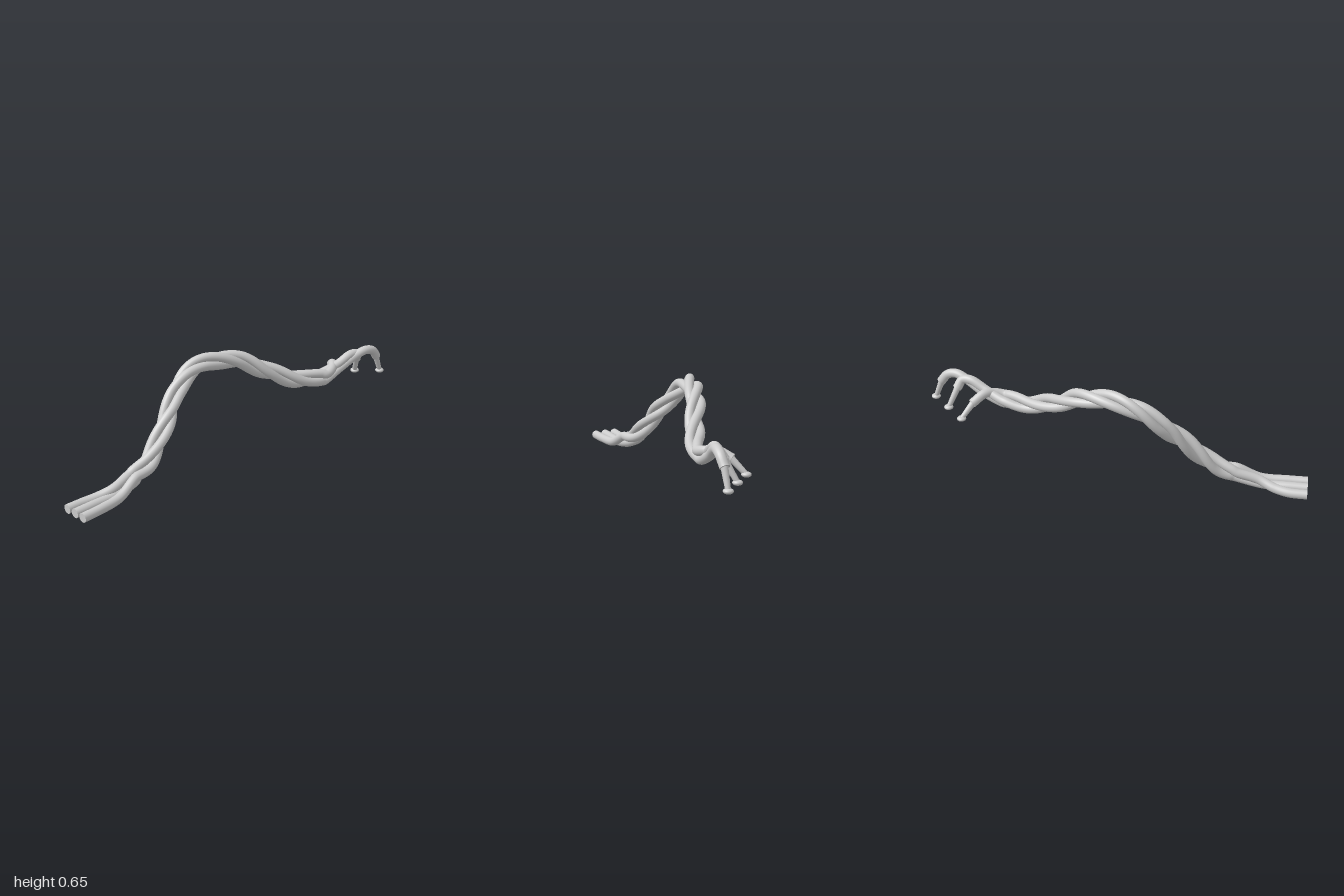
import * as THREE from 'three';

const material = new THREE.MeshStandardMaterial({ color: 0xcccccc });
const RADIUS = 0.029;
const V = (p) => new THREE.Vector3(...p);
const UP = new THREE.Vector3(0, 1, 0);

function add(group, geometry, name) {
  const mesh = new THREE.Mesh(geometry, material);
  mesh.name = name;
  group.add(mesh);
  return mesh;
}

// tapered rod between two points
function rod(group, a, b, ra, rb, name) {
  const dir = b.clone().sub(a);
  const mesh = add(group, new THREE.CylinderGeometry(rb, ra, dir.length(), 20), name);
  mesh.position.copy(a).lerp(b, 0.5);
  mesh.quaternion.setFromUnitVectors(UP, dir.normalize());
}

// flat disc closing a tube end
function cap(group, at, normal) {
  const mesh = add(group, new THREE.CircleGeometry(RADIUS, 20), 'cableEnd');
  mesh.position.copy(at);
  mesh.quaternion.setFromUnitVectors(new THREE.Vector3(0, 0, 1), normal);
}

// centre line of the twisted bundle
const spine = new THREE.CatmullRomCurve3([
  [-0.62, 0.10, 0.42], [-0.54, 0.15, 0.32], [-0.43, 0.35, 0.13], [-0.38, 0.47, 0.01],
  [-0.30, 0.56, -0.09], [-0.20, 0.595, -0.165], [0, 0.565, -0.27], [0.2, 0.46, -0.335],
  [0.4, 0.375, -0.405], [0.57, 0.36, -0.50],
].map(V));
const TWIST = THREE.MathUtils.degToRad(830);
const OFFSET = 0.033;

// points of one strand winding round the spine
function twisted(phaseDegrees, steps = 48) {
  const points = [];
  for (let i = 0; i <= steps; i++) {
    const t = i / steps;
    const tangent = spine.getTangentAt(t);
    const side = tangent.clone().cross(UP).normalize();
    const normal = side.clone().cross(tangent);
    const angle = THREE.MathUtils.degToRad(phaseDegrees) + TWIST * t;
    points.push(spine.getPointAt(t)
      .addScaledVector(normal, Math.cos(angle) * OFFSET)
      .addScaledVector(side, Math.sin(angle) * OFFSET));
  }
  return points;
}

// loose lead-in, winding phase, loose lead-out and contact tip of each cable
const cables = [
  {
    phase: -60,
    start: [[-0.98, 0.035, 0.675], [-0.90, 0.035, 0.60], [-0.82, 0.045, 0.55], [-0.73, 0.075, 0.505]],
    end: [[0.622, 0.395, -0.535], [0.63, 0.405, -0.60], [0.63, 0.365, -0.695]],
    tip: [0.63, 0.285, -0.775],
  },
  {
    phase: 180,
    start: [[-0.93, 0.035, 0.725], [-0.85, 0.035, 0.645], [-0.74, 0.035, 0.535]],
    end: [[0.66, 0.41, -0.575], [0.75, 0.458, -0.63], [0.795, 0.45, -0.665], [0.80, 0.40, -0.705]],
    tip: [0.80, 0.285, -0.775],
  },
  {
    phase: 60,
    start: [[-0.88, 0.035, 0.775], [-0.80, 0.035, 0.69], [-0.69, 0.045, 0.56]],
    end: [[0.68, 0.385, -0.58], [0.79, 0.45, -0.64], [0.855, 0.472, -0.675],
      [0.905, 0.455, -0.71], [0.938, 0.40, -0.745]],
    tip: [0.97, 0.285, -0.775],
  },
];

export function createModel() {
  const model = new THREE.Group();
  model.name = 'twistedCables';
  cables.forEach(({ phase, start, end, tip }, i) => {
    const cable = new THREE.Group();
    cable.name = `cable${i + 1}`;

    // insulated strand with closed ends
    const path = new THREE.CatmullRomCurve3([...start.map(V), ...twisted(phase), ...end.map(V)]);
    add(cable, new THREE.TubeGeometry(path, 260, RADIUS, 20), 'strand');
    const last = path.getPointAt(1);
    const lastDir = path.getTangentAt(1);
    cap(cable, path.getPointAt(0), path.getTangentAt(0).negate());
    cap(cable, last, lastDir);

    // contact stem and rounded button
    const tipPoint = V(tip);
    rod(cable, last.clone().addScaledVector(lastDir, -0.01), tipPoint, 0.021, 0.015, 'contactStem');
    const button = add(cable, new THREE.SphereGeometry(0.029, 24, 16), 'contactButton');
    button.scale.y = 0.55;
    button.position.copy(tipPoint);
    model.add(cable);
  });
  return model;
}
